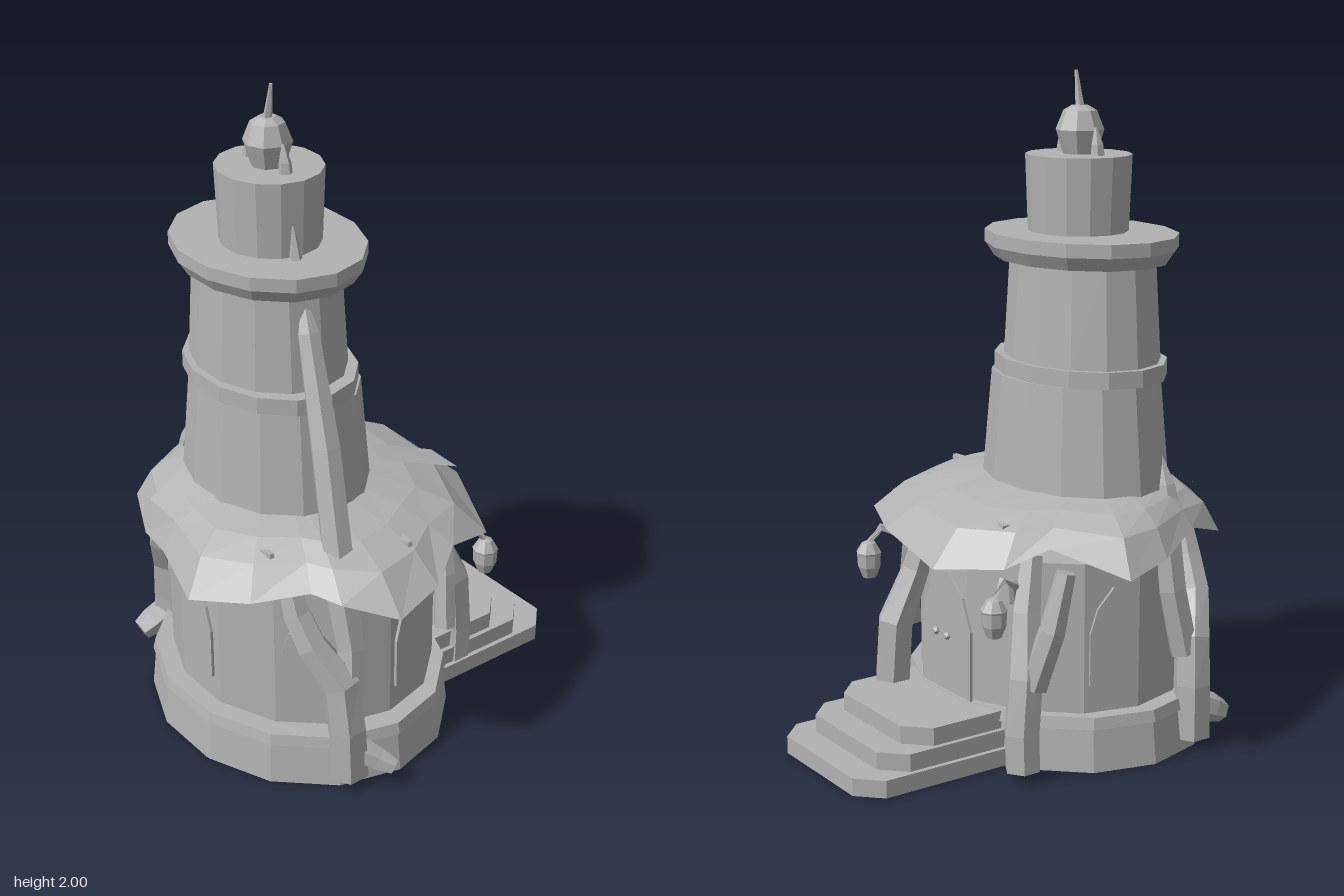
import * as THREE from 'three';

const stone = new THREE.MeshStandardMaterial({ color: 0xb2b2b2 });
stone.name = 'stone grey';
stone.flatShading = true;
stone.side = THREE.DoubleSide;

const V = (x, y, z) => new THREE.Vector3(x, y, z);
const SIDES = 14;
const FLAT = Math.cos(Math.PI / SIDES);
const FACET = 360 / SIDES;

export function createModel() {
  const group = new THREE.Group();

  function add(name, geometry, x = 0, y = 0, z = 0) {
    const mesh = new THREE.Mesh(geometry, stone);
    mesh.name = name;
    mesh.position.set(x, y, z);
    group.add(mesh);
    return mesh;
  }

  function indexed(name, pos, idx) {
    const g = new THREE.BufferGeometry();
    g.setAttribute('position', new THREE.Float32BufferAttribute(pos, 3));
    g.setIndex(idx);
    g.computeVertexNormals();
    return add(name, g);
  }

  // Oval drum with a flat facing front; radii given as [x, z] extents
  function drum(name, [rx0, rz0], [rx1, rz1], y0, y1, cx, cz, open = false) {
    const g = new THREE.CylinderGeometry(rx1, rx0, y1 - y0, SIDES, 1, open, Math.PI / SIDES);
    g.scale(1, 1, (rz0 + rz1) / (rx0 + rx1) / FLAT);
    return add(name, g, cx, (y0 + y1) / 2, cz);
  }

  // Tapered faceted limb through [x, y, z, radius] points
  function limb(name, pts, sides = 6) {
    const pos = [], idx = [], p = pts.map(a => V(a[0], a[1], a[2]));
    p.forEach((c, i) => {
      const t = p[Math.min(i + 1, p.length - 1)].clone().sub(p[Math.max(i - 1, 0)]).normalize();
      const ref = Math.abs(t.z) > 0.9 ? V(1, 0, 0) : V(0, 0, 1);
      const u = ref.clone().cross(t).normalize(), w = t.clone().cross(u);
      for (let k = 0; k < sides; k++) {
        const a = (k + 0.5) / sides * Math.PI * 2, r = pts[i][3];
        const q = c.clone().addScaledVector(u, Math.cos(a) * r).addScaledVector(w, Math.sin(a) * r);
        pos.push(q.x, q.y, q.z);
        if (i < p.length - 1) {
          const A = i * sides + k, B = i * sides + (k + 1) % sides;
          idx.push(A, B, B + sides, A, B + sides, A + sides);
        }
      }
    });
    const last = (p.length - 1) * sides;
    for (let k = 1; k < sides - 1; k++) {
      idx.push(0, k + 1, k, last, last + k, last + k + 1);
    }
    return indexed(name, pos, idx);
  }

  // Ground floor on a hollow plinth
  drum('plinth', [0.51, 0.425], [0.495, 0.415], 0, 0.13, 0, 0.175, true);
  drum('plinthRing', [0.505, 0.42], [0.497, 0.415], 0.13, 0.165, 0, 0.175);
  drum('groundFloor', [0.44, 0.376], [0.44, 0.376], 0.165, 0.62, -0.005, 0.157);

  // Leaning tower
  drum('lowerTower', [0.335, 0.265], [0.29, 0.222], 0.65, 1.11, -0.075, 0.195);
  drum('towerBand', [0.302, 0.227], [0.302, 0.227], 1.11, 1.16, -0.083, 0.205);
  drum('upperTower', [0.27, 0.207], [0.25, 0.192], 1.16, 1.46, -0.095, 0.202);
  drum('balconyFlare', [0.296, 0.23], [0.325, 0.255], 1.455, 1.495, -0.097, 0.195);
  drum('balconyRim', [0.325, 0.257], [0.325, 0.257], 1.495, 1.535, -0.097, 0.195);
  drum('turret', [0.155, 0.142], [0.164, 0.15], 1.535, 1.76, -0.082, 0.195);

  // Finial with tusks and a bent spike
  const bulb = [[0, 1.75], [0.05, 1.76], [0.072, 1.83], [0.05, 1.885], [0.025, 1.9], [0, 1.9]];
  add('finialBulb', new THREE.LatheGeometry(bulb.map(b => new THREE.Vector2(...b)), 8), -0.083, 0, 0.198);
  limb('finialSpike', [[-0.08, 1.89, 0.2, 0.014], [-0.07, 1.94, 0.2, 0.01], [-0.06, 2, 0.2, 0.005]], 5);
  for (const s of [-1, 1]) {
    limb('finialTusk', [[-0.082 + s * 0.085, 1.75, 0.2, 0.022], [-0.082 + s * 0.082, 1.79, 0.2, 0.018],
      [-0.082 + s * 0.074, 1.84, 0.2, 0.004]], 5);
  }

  // Leaf roof: ragged outline of [x, z, y], domed and drooping at the tips
  const edge = [
    [-0.19, -0.395, 0.62], [0.12, -0.36, 0.66], [0.42, -0.22, 0.64], [0.475, -0.04, 0.69],
    [0.565, 0.09, 0.65], [0.6, 0.255, 0.62], [0.49, 0.38, 0.66], [0.4, 0.42, 0.67],
    [0.3, 0.56, 0.64], [0.15, 0.67, 0.62], [-0.07, 0.61, 0.65], [-0.23, 0.57, 0.62],
    [-0.41, 0.485, 0.64], [-0.47, 0.33, 0.69], [-0.57, 0.155, 0.65], [-0.6, 0, 0.62],
    [-0.41, -0.14, 0.69], [-0.36, -0.265, 0.64]];
  const rings = [[0, 0.795], [0.4, 0.77], [0.72, 0.73]];
  const rp = [], ri = [], n = edge.length, R = rings.length + 1;
  edge.forEach(([x, z, y], i) => {
    const a = Math.atan2((z - 0.19) / 0.8, x + 0.05);
    const ix = -0.07 + 0.31 * Math.cos(a), iz = 0.19 + 0.245 * Math.sin(a);
    for (const [t, h] of rings) rp.push(ix + (x - ix) * t, h + (y - 0.65) * 0.3 * t, iz + (z - iz) * t);
    rp.push(x, y, z);
    const A = i * R, B = (i + 1) % n * R;
    for (let j = 0; j < R - 1; j++) ri.push(A + j, B + j + 1, B + j, A + j, A + j + 1, B + j + 1);
  });
  indexed('leafRoof', rp, ri);

  // Loose leaf patches lying on the roof
  indexed('roofPatch', [0.01, 0.8, -0.11, 0.08, 0.75, -0.285, 0.21, 0.75, -0.28, 0.11, 0.81, -0.05],
    [0, 2, 1, 0, 3, 2]);
  indexed('roofPatch', [-0.23, 0.795, 0.43, -0.03, 0.795, 0.445, -0.06, 0.74, 0.565, -0.22, 0.735, 0.555],
    [0, 2, 1, 0, 3, 2]);

  // Thorns on the roof, tower and balcony
  for (const [x, y, z] of [[0.43, 0.735, 0.11], [-0.26, 0.725, -0.2], [0.24, 0.735, 0.46]]) {
    limb('roofThorn', [[x - 0.02, y, z, 0.022], [x + 0.03, y + 0.01, z, 0.01]], 4);
  }
  limb('towerThorn', [[-0.39, 0.72, 0.31, 0.035], [-0.37, 0.8, 0.31, 0.028], [-0.34, 0.89, 0.31, 0.004]], 5);
  limb('balconyThorn', [[0.08, 1.53, 0.225, 0.02], [0.067, 1.63, 0.225, 0.004]], 5);

  // Big root leaning on the tower
  limb('towerRoot', [[0.13, 1.42, 0.235, 0.012], [0.155, 1.34, 0.24, 0.034], [0.265, 1.03, 0.265, 0.046],
    [0.36, 0.73, 0.295, 0.048], [0.385, 0.6, 0.3, 0.05], [0.425, 0.45, 0.3, 0.045], [0.45, 0.3, 0.32, 0.045]]);

  // Side roots with stubby feet
  limb('sideRoot', [[0.29, 0.66, 0.42, 0.035], [0.32, 0.56, 0.415, 0.045], [0.37, 0.47, 0.4, 0.048],
    [0.435, 0.35, 0.34, 0.06], [0.455, 0.2, 0.335, 0.06], [0.455, 0.035, 0.33, 0.065]]);
  limb('sideRoot', [[-0.31, 0.66, 0.42, 0.035], [-0.34, 0.56, 0.42, 0.045], [-0.39, 0.46, 0.41, 0.048],
    [-0.445, 0.34, 0.36, 0.055], [-0.46, 0.2, 0.35, 0.058], [-0.46, 0.035, 0.35, 0.06]]);
  limb('sideBranch', [[-0.41, 0.67, 0.28, 0.045], [-0.43, 0.5, 0.29, 0.045], [-0.445, 0.3, 0.33, 0.045]]);
  limb('rightFoot', [[0.46, 0.12, 0.31, 0.045], [0.51, 0.08, 0.26, 0.038], [0.55, 0.06, 0.23, 0.025]]);
  limb('leftFoot', [[-0.46, 0.14, 0.36, 0.045], [-0.465, 0.11, 0.42, 0.045], [-0.47, 0.09, 0.46, 0.035]]);

  // Roots beside the door
  limb('doorRoot', [[0.15, 0.64, -0.19, 0.035], [0.17, 0.5, -0.225, 0.045], [0.185, 0.34, -0.29, 0.058],
    [0.19, 0.16, -0.3, 0.058], [0.2, 0.03, -0.29, 0.055]]);
  limb('doorBranch', [[0.24, 0.62, -0.19, 0.03], [0.29, 0.45, -0.17, 0.035], [0.32, 0.28, -0.15, 0.035]]);
  limb('doorRoot', [[-0.29, 0.64, -0.12, 0.035], [-0.32, 0.48, -0.16, 0.045], [-0.36, 0.3, -0.19, 0.055],
    [-0.37, 0.14, -0.21, 0.055], [-0.375, 0.03, -0.21, 0.055]]);
  limb('doorBranch', [[-0.43, 0.62, -0.1, 0.03], [-0.42, 0.45, -0.14, 0.04], [-0.38, 0.28, -0.18, 0.045]]);

  // Hanging lanterns
  for (const s of [-1, 1]) {
    const x = s * 0.342, z = -0.288;
    limb('lanternHook', [[s * 0.27, 0.5, -0.16, 0.02], [s * 0.3, 0.57, -0.19, 0.016],
      [s * 0.33, 0.595, -0.25, 0.014], [x, 0.55, z, 0.01]], 5);
    const lamp = [[0, 0.435], [0.022, 0.44], [0.036, 0.475], [0.038, 0.515], [0.04, 0.52], [0.022, 0.55], [0, 0.56]];
    add('lantern', new THREE.LatheGeometry(lamp.map(b => new THREE.Vector2(...b)), 8), x, 0, z);
  }

  // Stepped entrance with clipped corners
  function slab(halfWidth, back, y0, y1) {
    const c = 0.07, w = halfWidth;
    const s = new THREE.Shape([[-w, 0.18], [w, 0.18], [w, back - c], [w - c, back], [c - w, back], [-w, back - c]]
      .map(([x, d]) => new THREE.Vector2(x, d)));
    const g = new THREE.ExtrudeGeometry(s, { depth: y1 - y0, bevelEnabled: false });
    g.rotateX(-Math.PI / 2);
    add('step', g, -0.005, y0, 0);
  }
  slab(0.26, 0.675, 0, 0.053);
  slab(0.245, 0.585, 0.053, 0.106);
  slab(0.23, 0.495, 0.106, 0.16);

  // Thin plates set on the ground-floor wall
  function onWall(mesh, degrees) {
    const a = degrees * Math.PI / 180, s = Math.sin(a), c = Math.cos(a);
    const normal = V(s / 0.429, 0, c / 0.376).normalize();
    mesh.position.x = -0.005 + 0.429 * s + normal.x * 0.004;
    mesh.position.z = 0.157 + 0.376 * c + normal.z * 0.004;
    mesh.rotation.y = Math.atan2(normal.x, normal.z);
  }
  function plate(name, w, y0, spring, top) {
    const mid = spring + (top - spring) * 0.55;
    const s = new THREE.Shape([[-w, y0], [w, y0], [w, spring], [w * 0.68, mid], [0, top], [-w * 0.68, mid], [-w, spring]]
      .map(q => new THREE.Vector2(...q)));
    return add(name, new THREE.ExtrudeGeometry(s, { depth: 0.009, bevelEnabled: false }));
  }
  for (const k of [-4, -2, 0, 2, 4]) onWall(plate('window', 0.073, 0.25, 0.41, 0.545), k * FACET);
  onWall(plate('door', 0.13, 0.165, 0.38, 0.55), 180);
  for (const x of [-0.02, 0.04]) add('doorKnob', new THREE.IcosahedronGeometry(0.013, 0), x, 0.34, -0.237);

  // Small studs and a diamond on the right wall
  for (const a of [119, 137]) onWall(add('wallStud', new THREE.IcosahedronGeometry(0.013, 0), 0, 0.53, 0), a);
  const diamond = new THREE.Shape([[0, 0.43], [0.018, 0.48], [0, 0.51], [-0.018, 0.48]].map(q => new THREE.Vector2(...q)));
  onWall(add('wallDiamond', new THREE.ExtrudeGeometry(diamond, { depth: 0.009, bevelEnabled: false })), 5 * FACET);

  return group;
}
